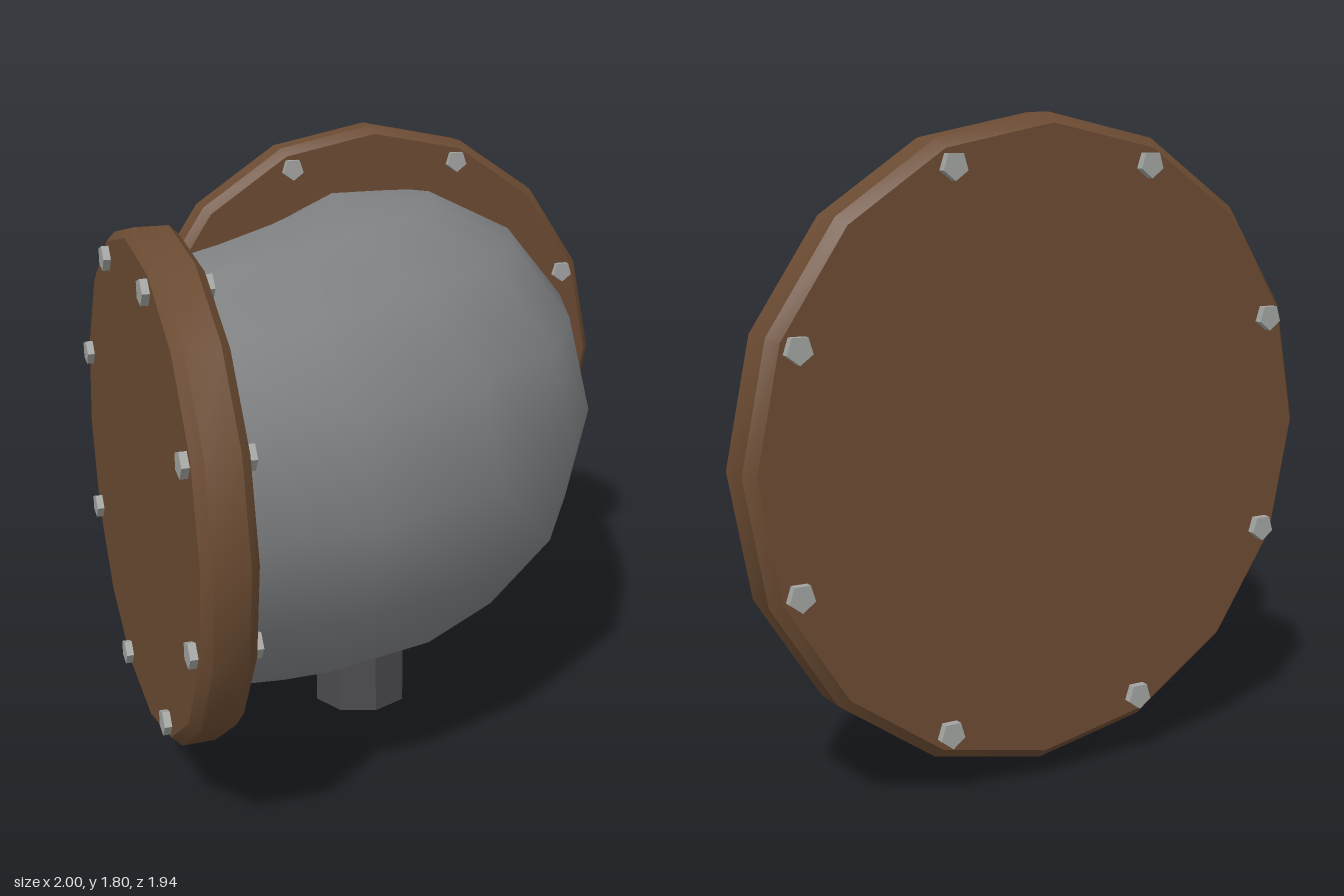
import * as THREE from 'three';
import { toCreasedNormals } from 'three/addons/utils/BufferGeometryUtils.js';

const mat = (name, color, flatShading = false) => {
  const m = new THREE.MeshStandardMaterial({ color, flatShading });
  m.name = name;
  return m;
};

export function createModel() {
  const grey = mat('pipe grey', 0x808284);
  const brown = mat('flange brown', 0x6b4b32);
  const steel = mat('bolt steel', 0xa2a4a2, true);
  const dark = mat('dark iron', 0x4b4b4f, true);
  const root = new THREE.Group();
  root.name = 'pipeElbow';

  const add = (parent, name, geometry, material) => {
    const mesh = new THREE.Mesh(geometry, material);
    mesh.name = name;
    parent.add(mesh);
    return mesh;
  };

  // Chamfered disc with a ring of eight through bolts, axis along local y
  function flange(name, radius, boltRing) {
    const group = new THREE.Group();
    group.name = name;
    const h = 0.076, c = 0.028;
    const profile = [
      [0, -h], [radius - c, -h], [radius, -h + c],
      [radius, h - c], [radius - c, h], [0, h],
    ].map(([x, y]) => new THREE.Vector2(x, y));
    add(group, name + 'Disc', toCreasedNormals(new THREE.LatheGeometry(profile, 16), 0.55), brown);
    const bolt = new THREE.CylinderGeometry(0.038, 0.038, 0.195, 5);
    for (let i = 0; i < 8; i++) {
      const a = (i + 0.5) * Math.PI / 4;
      add(group, name + 'Bolt', bolt, steel)
        .position.set(Math.cos(a) * boltRing, 0, Math.sin(a) * boltRing);
    }
    root.add(group);
    return group;
  }

  const small = flange('sideFlange', 0.745, 0.67);
  small.rotation.z = Math.PI / 2;
  small.position.set(-0.904, 0.927, 0.222);

  const large = flange('backFlange', 0.877, 0.802);
  large.rotation.x = Math.PI / 2;
  large.position.set(0.122, 0.927, -0.877);

  // Quarter bend swept about a vertical axis, bulging in the middle
  const bend = [1.075, 1.06, 1.045, 1.04, 1.005, 1.02, 1.015];
  const tube = [0.615, 0.66, 0.695, 0.71, 0.71, 0.69, 0.655];
  const sides = 14, pos = [], index = [];
  bend.forEach((p, i) => {
    const t = i / (bend.length - 1) * Math.PI / 2;
    for (let j = 0; j < sides; j++) {
      const a = j / sides * Math.PI * 2;
      const d = p + tube[i] * Math.cos(a);
      pos.push(-0.9 + d * Math.sin(t), 0.927 + tube[i] * Math.sin(a), -0.87 + d * Math.cos(t));
      if (i < bend.length - 1) {
        const k = (j + 1) % sides, r = i * sides, s = r + sides;
        index.push(r + j, s + j, r + k, s + j, s + k, r + k);
      }
    }
  });
  const elbow = new THREE.BufferGeometry();
  elbow.setAttribute('position', new THREE.Float32BufferAttribute(pos, 3));
  elbow.setIndex(index);
  elbow.computeVertexNormals();
  add(root, 'elbowPipe', elbow, grey);

  // Octagonal drain plug under the bend
  add(root, 'drainPlug', new THREE.CylinderGeometry(0.153, 0.153, 0.36, 8), dark)
    .position.set(-0.206, 0.18, -0.094);

  return root;
}
